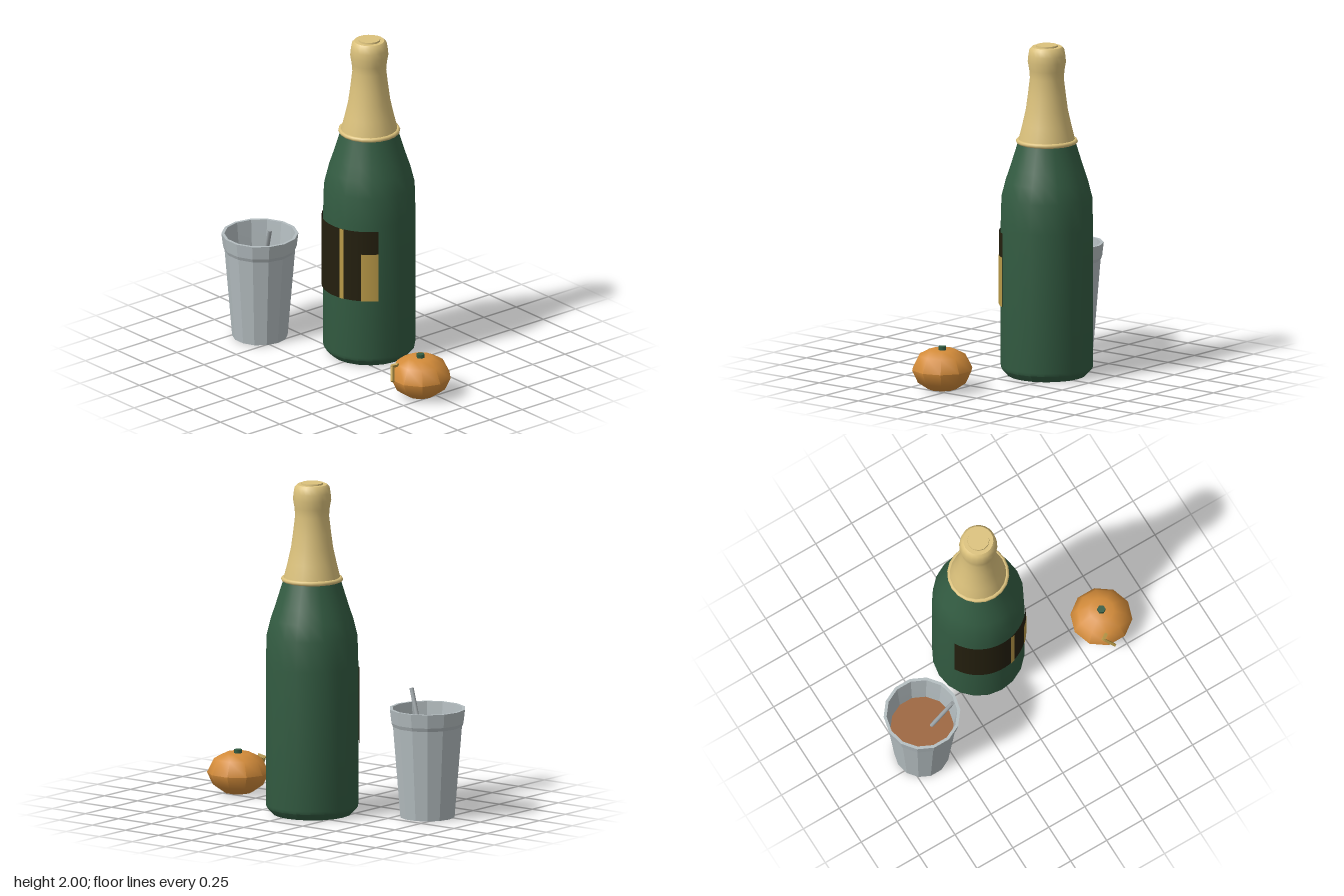
import * as THREE from 'three';
import { toCreasedNormals } from 'three/addons/utils/BufferGeometryUtils.js';

const mat = (name, color, extra = {}) => new THREE.MeshStandardMaterial({ name, color, ...extra });

export function createModel() {
  const green = mat('bottleGreen', 0x335c42);
  const foil = mat('foilGold', 0xdcc27c);
  const dark = mat('labelDark', 0x241f0e, { side: THREE.DoubleSide });
  const gold = mat('labelGold', 0xba9a48, { side: THREE.DoubleSide });
  const glass = mat('glassGrey', 0xb4bdc0);
  const steel = mat('strawGrey', 0xa2a9ac);
  const tea = mat('drinkBrown', 0x9c643a);
  const peel = mat('fruitOrange', 0xd48c3a);

  const root = new THREE.Group();
  const group = (name, x, z) => {
    const g = new THREE.Group();
    g.name = name;
    g.position.set(x, 0, z);
    root.add(g);
    return g;
  };
  const add = (parent, name, geometry, material) => {
    const m = new THREE.Mesh(geometry, material);
    m.name = name;
    parent.add(m);
    return m;
  };
  // Profile runs from the bottom axis upwards; crease sets where edges stay sharp
  const lathe = (profile, sides, crease) => toCreasedNormals(
    new THREE.LatheGeometry(profile.map(([r, y]) => new THREE.Vector2(r, y)), sides, Math.PI / 2), crease);

  // Bottle with foil neck, ring and cap
  const bottle = group('bottle', -0.042, -0.147);
  add(bottle, 'bottleBody', lathe([
    [0, 0], [0.235, 0], [0.272, 0.04], [0.275, 0.06], [0.275, 0.9], [0.27, 1.08],
    [0.245, 1.18], [0.218, 1.26], [0.17, 1.415], [0, 1.415],
  ], 20, 0.6), green);
  add(bottle, 'foilNeck', lathe([
    [0, 1.41], [0.17, 1.41], [0.165, 1.44], [0.145, 1.52], [0.125, 1.61], [0.113, 1.7],
    [0.101, 1.8], [0.105, 1.85], [0.114, 1.9], [0.11, 1.94], [0.104, 1.975], [0.09, 1.99], [0, 1.99],
  ], 20, 0.7), foil);
  const ring = add(bottle, 'foilRing', new THREE.TorusGeometry(0.171, 0.014, 8, 20), foil);
  ring.rotation.x = Math.PI / 2;
  ring.position.y = 1.418;
  add(bottle, 'neckCap', new THREE.CylinderGeometry(0.065, 0.068, 0.02, 12), foil).position.y = 1.99;

  // Wrapped label plates, angles measured from the front towards +x
  const plate = (name, r, from, to, y0, y1, material) => {
    const a = THREE.MathUtils.degToRad(from), b = THREE.MathUtils.degToRad(to);
    const steps = Math.max(2, Math.ceil((to - from) / 6));
    const g = new THREE.CylinderGeometry(r, r, y1 - y0, steps, 1, true, a, b - a);
    add(bottle, name, g, material).position.y = (y0 + y1) / 2;
  };
  plate('label', 0.283, -61, 61, 0.43, 0.875, dark);
  plate('labelStripe', 0.286, 11.7, 17.9, 0.43, 0.875, gold);
  plate('labelPanel', 0.286, 40.5, 61, 0.43, 0.73, gold);

  // Faceted tumbler, hollow above the drink
  const tumbler = group('tumbler', -0.643, 0.197);
  add(tumbler, 'tumblerGlass', lathe([
    [0, 0], [0.165, 0], [0.21, 0.55], [0.219, 0.572], [0.229, 0.655],
    [0.211, 0.655], [0.202, 0.57], [0.189, 0.43], [0.16, 0.05], [0, 0.05],
  ], 14, 0.1), glass);
  const drink = add(tumbler, 'drink', new THREE.CylinderGeometry(0.189, 0.162, 0.36, 14), tea);
  drink.rotation.y = Math.PI / 2;
  drink.position.y = 0.25;

  // Leaning straw
  const low = new THREE.Vector3(0.02, 0.33, 0.01), high = new THREE.Vector3(0.172, 0.745, 0.066);
  const dir = high.clone().sub(low);
  const straw = add(tumbler, 'straw', new THREE.CylinderGeometry(0.013, 0.013, dir.length(), 8), steel);
  straw.position.copy(low).add(high).multiplyScalar(0.5);
  straw.quaternion.setFromUnitVectors(new THREE.Vector3(0, 1, 0), dir.normalize());

  // Squat fruit with a stem
  const fruit = group('fruit', 0.685, 0.065);
  add(fruit, 'fruitBody', lathe([
    [0, 0.004], [0.085, 0.006], [0.15, 0.05], [0.185, 0.125], [0.142, 0.21], [0.075, 0.244], [0, 0.24],
  ], 10, 1.0), peel);
  add(fruit, 'stem', new THREE.CylinderGeometry(0.025, 0.025, 0.03, 6), green).position.y = 0.248;

  // Small bent strip on the fruit's front
  const bend = [[-0.05, 0.212, 0.135], [-0.078, 0.2, 0.152], [-0.028, 0.132, 0.192]]
    .map((p) => new THREE.Vector3(...p));
  for (let i = 0; i < 2; i++) {
    const d = bend[i + 1].clone().sub(bend[i]);
    const strip = add(fruit, 'bentStrip', new THREE.BoxGeometry(0.02, d.length() + 0.012, 0.014), gold);
    strip.position.copy(bend[i]).add(bend[i + 1]).multiplyScalar(0.5);
    strip.quaternion.setFromUnitVectors(new THREE.Vector3(0, 1, 0), d.normalize());
  }
  return root;
}
